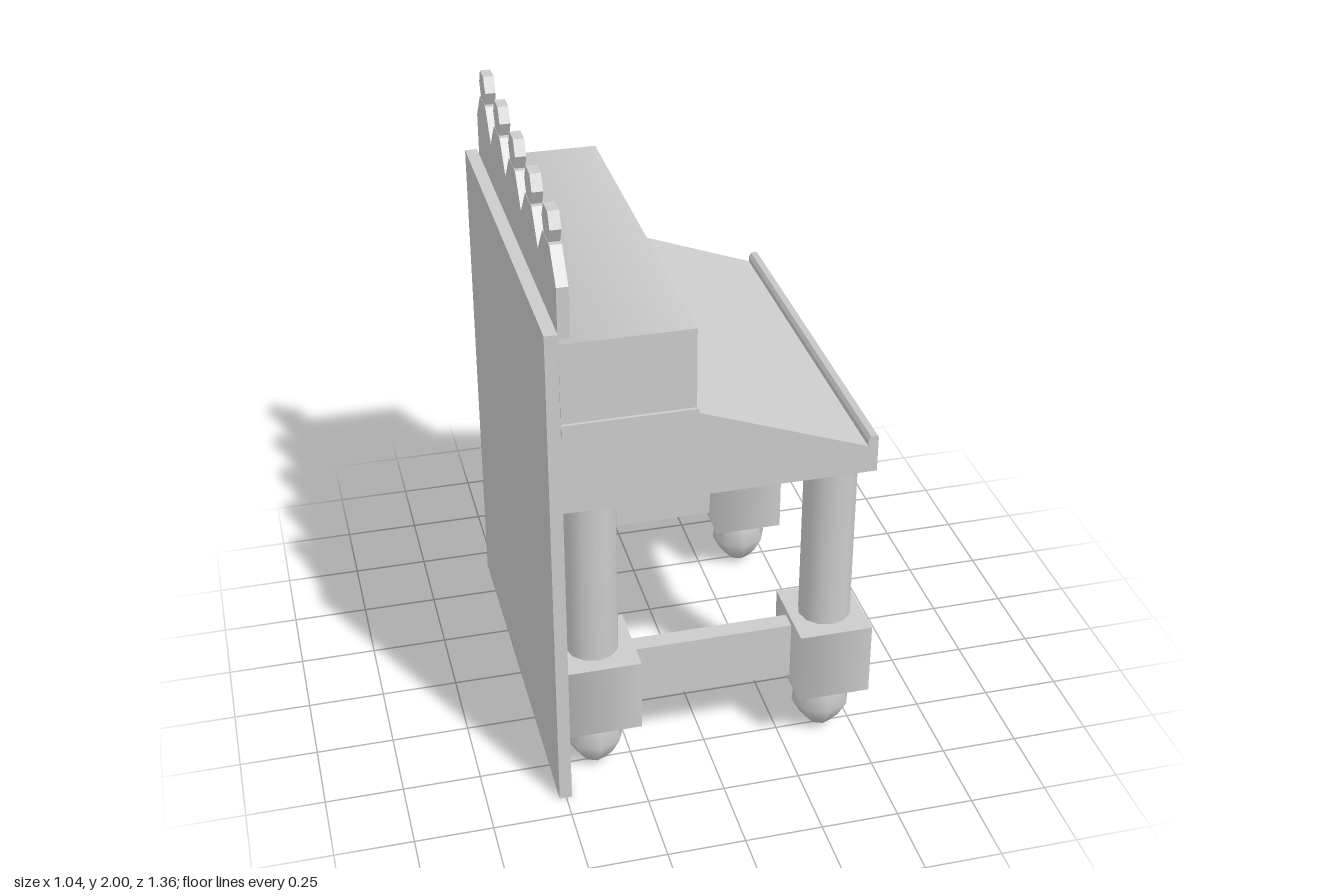
import * as THREE from 'three';

const grey = new THREE.MeshStandardMaterial({ color: 0xcccccc, side: THREE.DoubleSide });
const MID = -0.005; // slight shift of desk body and crest along z

function add(parent, name, geometry, x = 0, y = 0, z = 0) {
  const mesh = new THREE.Mesh(geometry, grey);
  mesh.name = name;
  mesh.position.set(x, y, z);
  parent.add(mesh);
  return mesh;
}

// four-sided block, smooth around its long axis, with flat ends
function softBlock(w, h, d, alongZ = false) {
  const g = new THREE.CylinderGeometry(Math.SQRT1_2, Math.SQRT1_2, 1, 4);
  g.rotateY(Math.PI / 4);
  if (alongZ) g.rotateX(Math.PI / 2);
  return g.scale(w, h, d);
}

function polygon(points) {
  return new THREE.Shape(points.map(([x, y]) => new THREE.Vector2(x, y)));
}

// profile drawn in x/y, extruded along z and centred on z = 0
function slab(points, depth) {
  const g = new THREE.ExtrudeGeometry(polygon(points), { depth, bevelEnabled: false });
  return g.translate(0, 0, -depth / 2);
}

export function createModel() {
  const desk = new THREE.Group();
  desk.name = 'writingDesk';

  // tall rear board
  add(desk, 'backPanel', new THREE.BoxGeometry(0.04, 1.68, 1.335), -0.502, 0.84, 0);

  // hollow sloping case, open underneath
  const deskCase = new THREE.Group();
  deskCase.name = 'deskCase';
  desk.add(deskCase);
  add(deskCase, 'slopingTop', slab([
    [-0.482, 1.357], [-0.08, 1.357], [0.47, 1.155], [0.49, 1.15], [0.49, 1.065],
    [0.48, 1.065], [0.48, 1.14], [-0.08, 1.345], [-0.482, 1.345],
  ], 1.29), 0, 0, MID);
  const cheek = [[-0.482, 1.065], [0.489, 1.065], [0.489, 1.148], [-0.08, 1.356], [-0.482, 1.356]];
  for (const s of [-1, 1]) add(deskCase, 'caseSide', slab(cheek, 0.008), 0, 0, MID + s * 0.641);
  add(deskCase, 'frontLip', slab([
    [0.466, 1.145], [0.498, 1.13], [0.498, 1.185], [0.49, 1.192], [0.474, 1.188], [0.466, 1.175],
  ], 1.29), 0, 0, MID);
  add(deskCase, 'frontRail', new THREE.BoxGeometry(0.012, 0.07, 1.29), 0.492, 1.1, MID);

  // upper box on its moulding
  add(desk, 'moulding', softBlock(0.407, 0.036, 1.364, true), -0.2785, 1.373, 0);
  add(desk, 'upperBox', softBlock(0.402, 0.262, 1.338, true), -0.281, 1.519, 0.003);

  // crest: five flat-topped gables, each with a hexagonal finial
  const crest = new THREE.Group();
  crest.name = 'crest';
  crest.position.set(-0.46, 0, MID);
  crest.rotation.y = -Math.PI / 2;
  desk.add(crest);
  const step = 0.258;
  const outline = [[-2.5 * step, 1.65]];
  for (let i = -2; i <= 2; i++) {
    const c = i * step;
    outline.push([c - step / 2, 1.812], [c - 0.05, 1.906], [c + 0.05, 1.906]);
  }
  outline.push([2.5 * step, 1.812], [2.5 * step, 1.65]);
  add(crest, 'crestBoard', slab(outline, 0.036));
  const finial = slab([
    [-0.028, 1.9], [0.028, 1.9], [0.056, 1.953], [0.03, 2], [-0.03, 2], [-0.056, 1.953],
  ], 0.034);
  for (let i = -2; i <= 2; i++) add(crest, 'finial', finial, i * step);

  // turned foot, square block and round post for each leg
  const footProfile = [[0, 0.01], [0.042, 0.02], [0.07, 0.055], [0.098, 0.11], [0.077, 0.17], [0.072, 0.215]]
    .map(([r, y]) => new THREE.Vector2(r, y));
  const foot = new THREE.LatheGeometry(footProfile, 8);
  const block = softBlock(0.238, 0.25, 0.268);
  const post = new THREE.CylinderGeometry(0.085, 0.085, 0.63, 12);
  for (const z of [-0.493, 0.497]) {
    for (const x of [-0.37, 0.4]) {
      const leg = new THREE.Group();
      leg.name = x > 0 ? 'frontLeg' : 'backLeg';
      leg.position.set(x, 0, z);
      desk.add(leg);
      add(leg, 'foot', foot);
      add(leg, 'block', block, x > 0 ? 0 : 0.01, 0.335, 0);
      add(leg, 'post', post, 0, 0.76, 0);
    }
    add(desk, 'stretcher', new THREE.BoxGeometry(0.56, 0.2, 0.06), 0.02, 0.337, z);
  }
  return desk;
}
